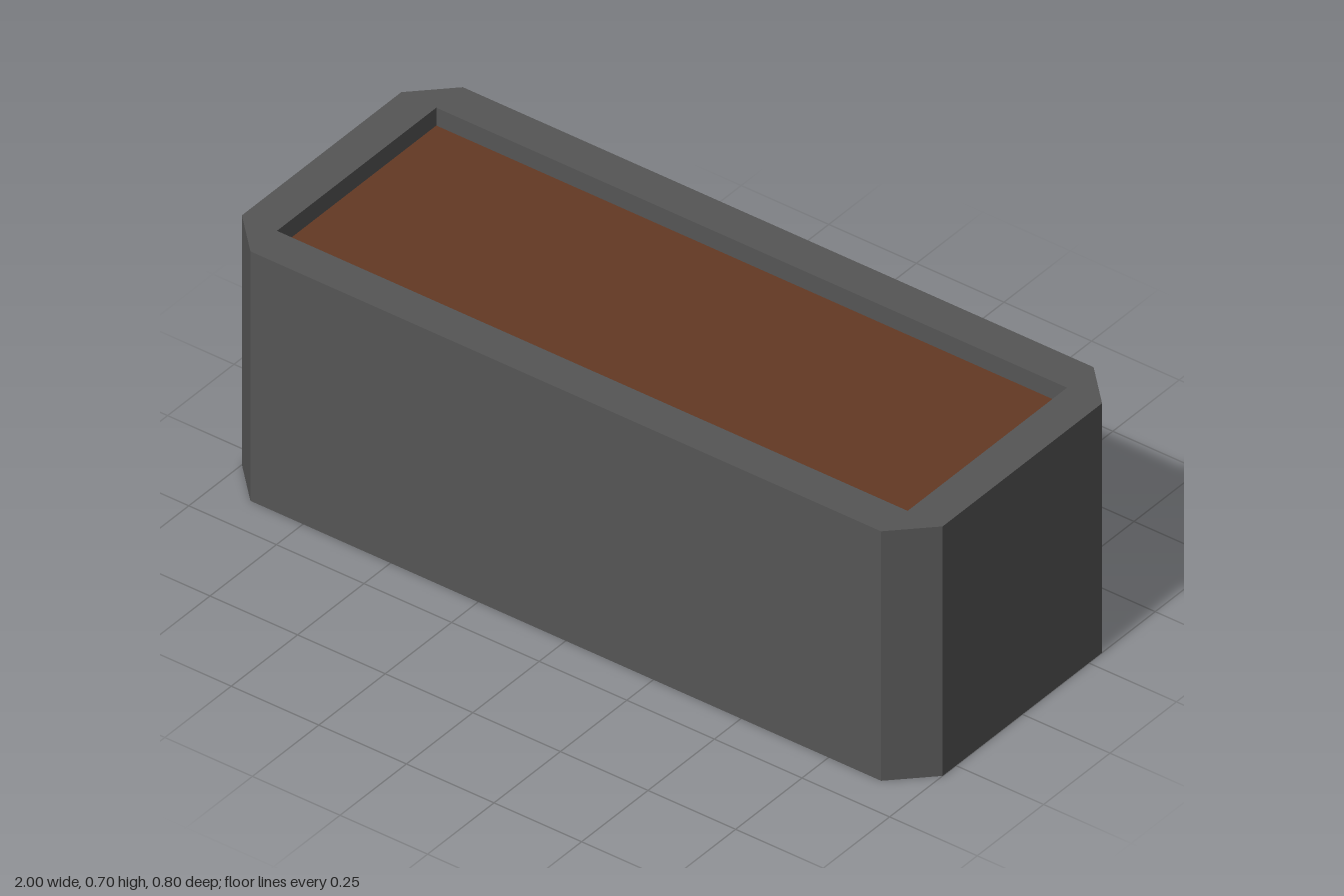
import * as THREE from 'three';

const H = 0.7, SOIL_Y = 0.65;

// Vertical wall around a closed outline of [x, z] points; faces outward for
// counter-clockwise outlines (in shape space), inward for reversed ones.
function wall(outline, y0, y1) {
  const pos = [];
  outline.forEach(([ax, ay], i) => {
    const [bx, by] = outline[(i + 1) % outline.length];
    const a0 = [ax, y0, -ay], b0 = [bx, y0, -by];
    const a1 = [ax, y1, -ay], b1 = [bx, y1, -by];
    pos.push(...a0, ...b0, ...b1, ...a0, ...b1, ...a1);
  });
  const g = new THREE.BufferGeometry();
  g.setAttribute('position', new THREE.Float32BufferAttribute(pos, 3));
  g.computeVertexNormals();
  return g;
}

export function createModel() {
  const group = new THREE.Group();
  group.name = 'planter';
  const shell = new THREE.MeshStandardMaterial({ color: 0x555555, flatShading: true, side: THREE.DoubleSide });
  const earth = new THREE.MeshStandardMaterial({ color: 0x643924, flatShading: true, side: THREE.DoubleSide });

  const add = (name, geometry, material) => {
    const mesh = new THREE.Mesh(geometry, material);
    mesh.name = name;
    group.add(mesh);
    return mesh;
  };

  // Chamfered outer outline and rectangular opening
  const outer = [[1, -0.3], [1, 0.3], [0.9, 0.4], [-0.9, 0.4], [-1, 0.3], [-1, -0.3], [-0.9, -0.4], [0.9, -0.4]];
  const inner = [[0.9, -0.3], [0.9, 0.3], [-0.9, 0.3], [-0.9, -0.3]];
  const toVectors = (pts) => pts.map(([x, y]) => new THREE.Vector2(x, y));

  // Outer walls, open underneath
  add('outerWall', wall(outer, 0, H), shell);

  // Flat top rim with the opening cut out
  const rimShape = new THREE.Shape(toVectors(outer));
  rimShape.holes.push(new THREE.Path(toVectors(inner)));
  add('rim', new THREE.ShapeGeometry(rimShape).rotateX(-Math.PI / 2).translate(0, H, 0), shell);

  // Short inner walls from the rim down to the soil
  add('innerWall', wall([...inner].reverse(), SOIL_Y, H), shell);

  // Soil surface
  add('soil', new THREE.PlaneGeometry(1.8, 0.6).rotateX(-Math.PI / 2).translate(0, SOIL_Y, 0), earth);

  return group;
}
